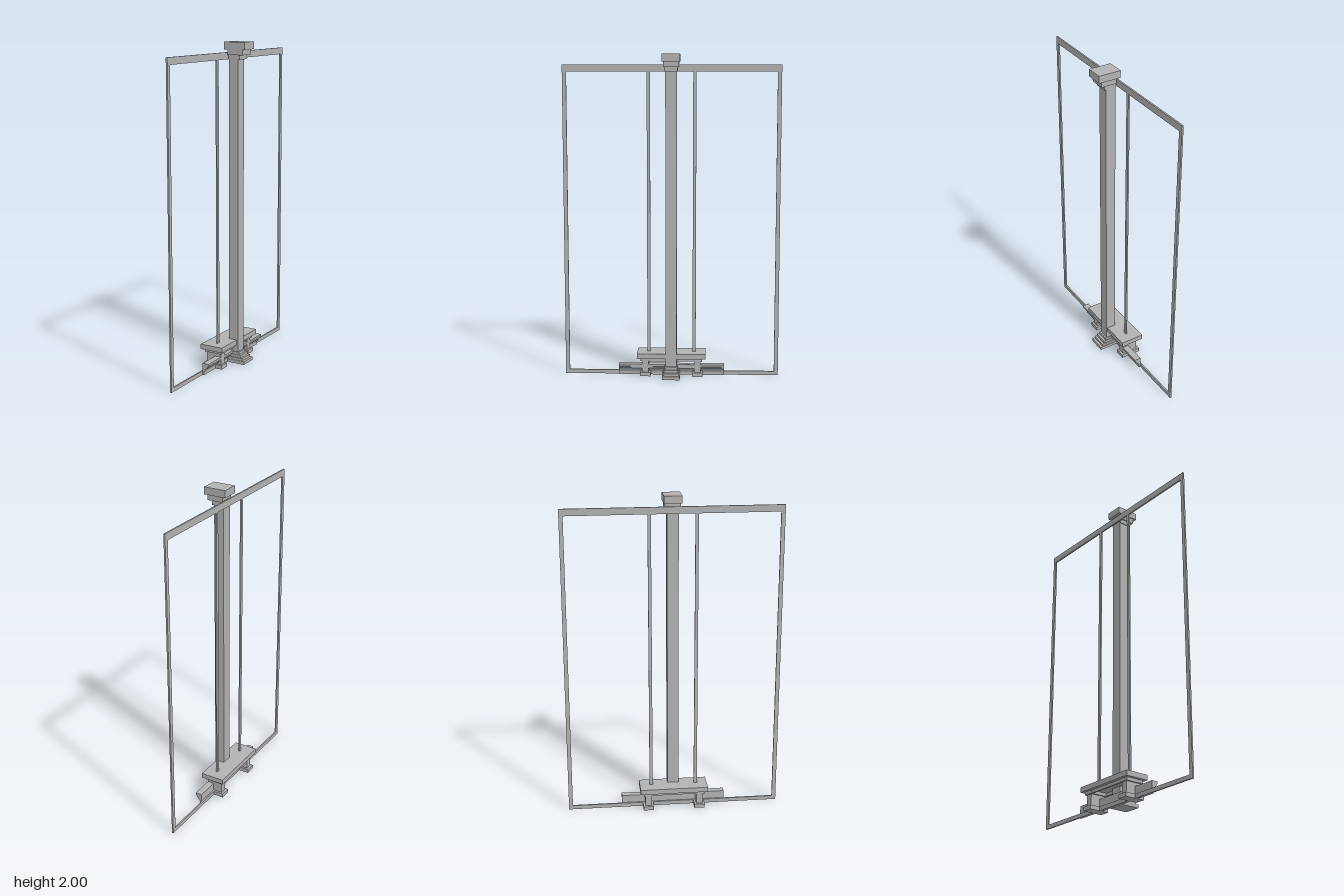
import * as THREE from 'three';

export function createModel() {
  const model = new THREE.Group();
  const stone = new THREE.MeshStandardMaterial({ color: 0xb2b2b2 });
  stone.name = 'grey stone';

  const group = (name) => {
    const g = new THREE.Group();
    g.name = name;
    model.add(g);
    return g;
  };
  // Box given by its extents along each axis
  const block = (parent, name, [x0, x1], [y0, y1], [z0, z1]) => {
    const mesh = new THREE.Mesh(new THREE.BoxGeometry(x1 - x0, y1 - y0, z1 - z0), stone);
    mesh.position.set((x0 + x1) / 2, (y0 + y1) / 2, (z0 + z1) / 2);
    mesh.name = name;
    parent.add(mesh);
  };

  // Flat outer frame with two slender inner bars
  const frame = group('frame');
  const fx = [-0.034, -0.024];
  block(frame, 'topRail', fx, [1.895, 1.937], [-0.67, 0.67]);
  block(frame, 'bottomRail', fx, [0, 0.025], [-0.67, 0.67]);
  for (const s of [-1, 1]) {
    const span = (a, b) => [Math.min(s * a, s * b), Math.max(s * a, s * b)];
    block(frame, 'sidePost', fx, [0.025, 1.895], span(0.645, 0.67));
    block(frame, 'innerBar', fx, [0.14, 1.895], span(0.132, 0.152));
  }

  // Square column
  const column = group('column');
  block(column, 'shaft', [-0.012, 0.052], [0.07, 1.895], [-0.035, 0.035]);

  // Stepped capital: x range, y range, half depth
  [
    [[-0.012, 0.065], [1.895, 1.922], 0.04],
    [[-0.012, 0.088], [1.922, 1.955], 0.048],
    [[-0.034, 0.108], [1.955, 2.0], 0.055],
  ].forEach(([x, y, d]) => block(column, 'capitalStep', x, y, [-d, d]));

  // Stepped plinth
  [
    [0.108, 0, 0.02, 0.055],
    [0.092, 0.02, 0.036, 0.05],
    [0.078, 0.036, 0.053, 0.044],
    [0.063, 0.053, 0.07, 0.039],
  ].forEach(([x, y0, y1, d]) => block(column, 'plinthStep', [-0.012, x], [y0, y1], [-d, d]));

  // Table slab with apron and two footed legs
  const table = group('table');
  block(table, 'slab', [-0.11, 0.043], [0.115, 0.147], [-0.215, 0.215]);
  for (const x of [-0.09, 0.016]) {
    block(table, 'apron', [x, x + 0.01], [0.096, 0.115], [-0.14, 0.14]);
  }
  for (const s of [-1, 1]) {
    [
      ['foot', [-0.1, 0.03], [0, 0.025], 0.033],
      ['leg', [-0.085, 0.018], [0.025, 0.096], 0.02],
      ['legCap', [-0.093, 0.026], [0.096, 0.115], 0.031],
    ].forEach(([name, x, y, d]) => block(table, name, x, y, [s * 0.163 - d, s * 0.163 + d]));
  }

  // Long moulding along the foot of the frame, stepping outward to its top
  const profile = new THREE.Shape([
    [-0.024, 0], [-0.014, 0], [-0.014, 0.018], [-0.008, 0.03], [0.002, 0.042],
    [0.01, 0.048], [0.01, 0.056], [0.018, 0.06], [0.018, 0.074], [-0.024, 0.074],
  ].map(([x, y]) => new THREE.Vector2(x, y)));
  const moulding = new THREE.Mesh(
    new THREE.ExtrudeGeometry(profile, { depth: 0.66, bevelEnabled: false }), stone);
  moulding.position.z = -0.33;
  moulding.name = 'moulding';
  model.add(moulding);

  return model;
}
